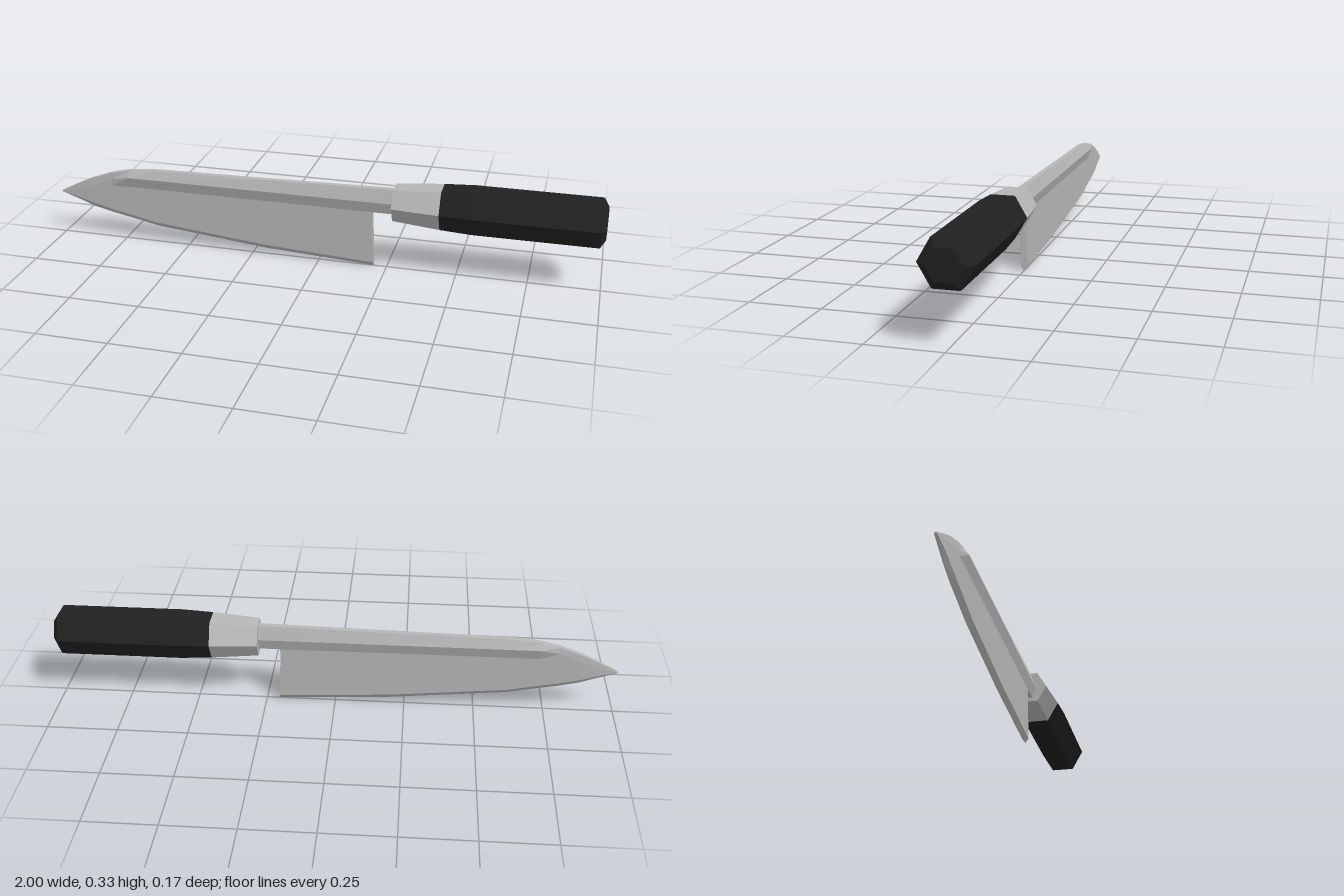
import * as THREE from 'three';

// Skin a list of equal-length point rings running toward +x, with end caps
function loft(rings) {
  const pos = [];
  const tri = (...pts) => pts.forEach(p => pos.push(...p));
  const n = rings[0].length;
  for (let s = 0; s < rings.length - 1; s++) {
    const a = rings[s], b = rings[s + 1];
    for (let i = 0; i < n; i++) {
      const j = (i + 1) % n;
      tri(a[i], b[i], b[j]);
      tri(a[i], b[j], a[j]);
    }
  }
  const cap = (ring, flip) => {
    const c = [0, 1, 2].map(k => ring.reduce((t, p) => t + p[k], 0) / n);
    ring.forEach((p, i) => {
      const q = ring[(i + 1) % n];
      if (flip) tri(c, q, p); else tri(c, p, q);
    });
  };
  cap(rings[0], false);
  cap(rings[rings.length - 1], true);
  const g = new THREE.BufferGeometry();
  g.setAttribute('position', new THREE.Float32BufferAttribute(pos, 3));
  g.computeVertexNormals();
  return g;
}

// Mirror a half outline of [x, y, z] points (bottom to top) into a closed ring
function mirrorRing(half) {
  const back = half.filter(p => p[2] > 0).reverse().map(([x, y, z]) => [x, y, -z]);
  return [...half, ...back];
}

// Hexagonal ring with corners at +z and -z
function hexRing([x, r]) {
  return Array.from({ length: 6 }, (_, i) => {
    const a = -2 * Math.PI / 3 + i * Math.PI / 3;
    return [x, 0.255 + r * Math.sin(a), r * Math.cos(a)];
  });
}

export function createModel() {
  const steel = new THREE.MeshStandardMaterial({ color: 0xb6b6b6 });
  const black = new THREE.MeshStandardMaterial({ color: 0x202020 });
  steel.name = 'steel';
  black.name = 'black grip';
  steel.flatShading = black.flatShading = true;

  const group = new THREE.Group();
  group.name = 'kitchenKnife';
  const add = (name, geometry, material) => {
    const mesh = new THREE.Mesh(geometry, material);
    mesh.name = name;
    group.add(mesh);
  };

  // Blade stations: x, heights of edge, bevel, lower ridge, ridge, spine, then half widths of plate, ridge, spine
  const stations = [
    [-1.00, 0.163, 0.165, 0.166, 0.167, 0.169, 0.004, 0.004, 0.003],
    [-0.93, 0.139, 0.152, 0.168, 0.185, 0.205, 0.009, 0.009, 0.007],
    [-0.87, 0.117, 0.134, 0.178, 0.205, 0.233, 0.011, 0.011, 0.008],
    [-0.79, 0.098, 0.115, 0.213, 0.238, 0.262, 0.012, 0.012, 0.009],
    [-0.72, 0.085, 0.102, 0.215, 0.255, 0.278, 0.012, 0.025, 0.010],
    [-0.62, 0.064, 0.081, 0.215, 0.255, 0.287, 0.012, 0.025, 0.010],
    [-0.20, 0.022, 0.039, 0.214, 0.255, 0.295, 0.012, 0.025, 0.010],
    [0.195, 0.000, 0.017, 0.213, 0.255, 0.303, 0.012, 0.025, 0.010],
  ];
  const rings = stations.map(([x, edge, bevel, low, mid, top, zp, zm, zt], i) => {
    const heel = i === stations.length - 1 ? 0.008 : 0;
    return mirrorRing([[x + heel, edge, 0], [x + heel, bevel, zp], [x, low, zp], [x, mid, zm], [x, top, zt]]);
  });
  add('blade', loft(rings), steel);

  // Neck joining the blade to the ferrule
  const neck = [[0.195, 0.303], [0.29, 0.305]].map(([x, top]) =>
    mirrorRing([[x, 0.213, 0.012], [x, 0.255, 0.025], [x, top, 0.010]]));
  add('neck', loft(neck), steel);

  // Hexagonal ferrule and grip with a chamfered butt
  add('ferrule', loft([[0.272, 0.067], [0.44, 0.081]].map(hexRing)), steel);
  add('grip', loft([[0.44, 0.081], [0.55, 0.0868], [0.982, 0.0868], [1.0, 0.058]].map(hexRing)), black);

  return group;
}
